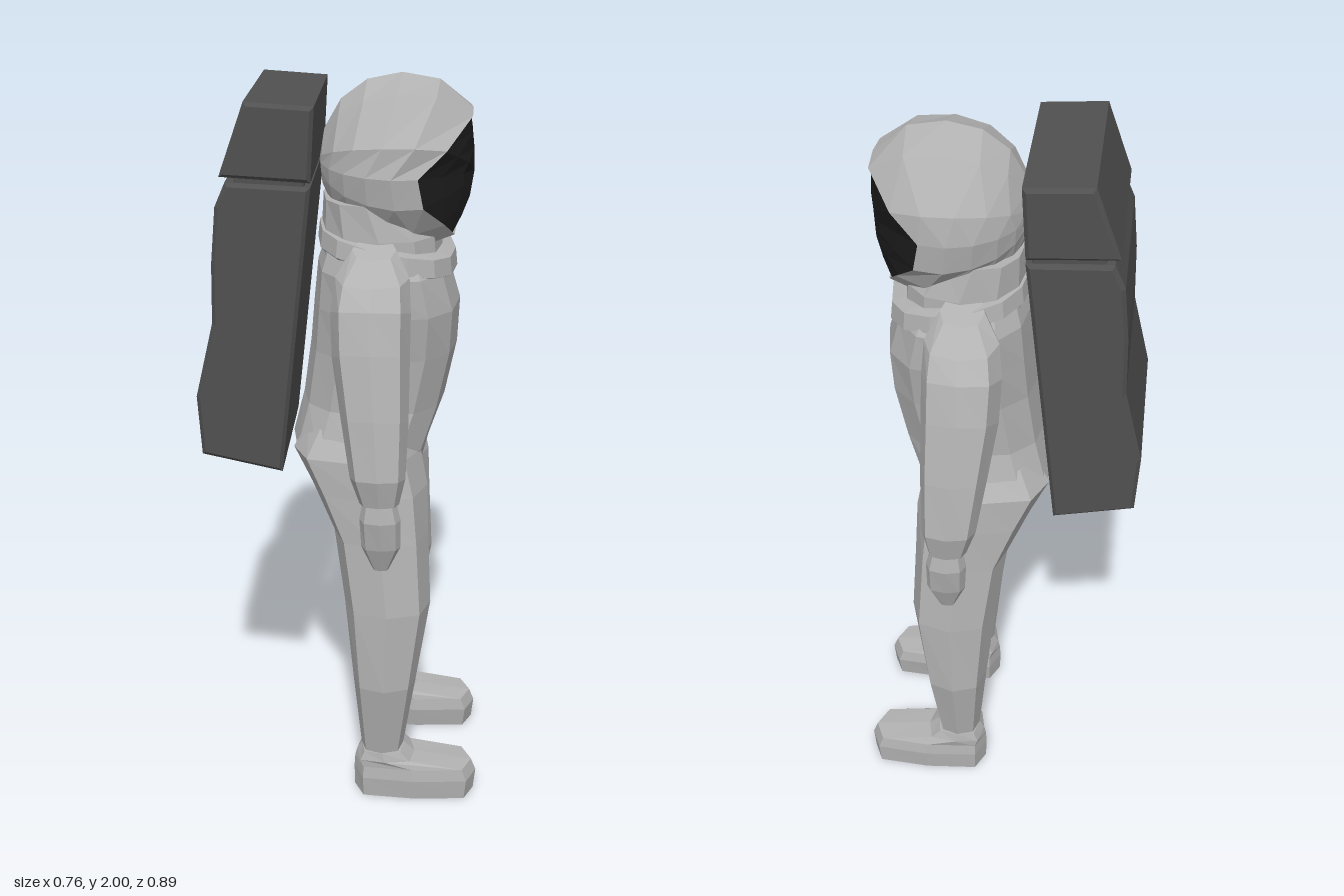
import * as THREE from 'three';

const mat = (name, color) => {
  const m = new THREE.MeshStandardMaterial({ color });
  m.name = name;
  m.flatShading = true;
  return m;
};

// Skin a list of rings (arrays of Vector3), closing both ends
function skin(rings) {
  const pos = [];
  const tri = (a, b, c) => {
    const area = b.clone().sub(a).cross(c.clone().sub(a)).length();
    if (area > 1e-8) for (const v of [a, b, c]) pos.push(v.x, v.y, v.z);
  };
  const n = rings[0].length;
  for (let i = 0; i < rings.length - 1; i++)
    for (let j = 0; j < n; j++) {
      const k = (j + 1) % n, lo = rings[i], hi = rings[i + 1];
      tri(lo[j], hi[k], lo[k]);
      tri(lo[j], hi[j], hi[k]);
    }
  return { pos, tri, first: rings[0], last: rings[rings.length - 1] };
}

function toGeometry(pos) {
  const g = new THREE.BufferGeometry();
  g.setAttribute('position', new THREE.Float32BufferAttribute(pos, 3));
  g.computeVertexNormals();
  return g;
}

// Rows from bottom to top: [y, xMin, xMax, zMin, zMax, slope in z, slope in x]
function loft(rows, side = 1, n = 8, power = 0.8) {
  const round = (v) => (Math.abs(v) < 1e-6 ? 0 : Math.sign(v) * Math.abs(v) ** power);
  const rings = rows.map(([y, x0, x1, z0, z1, sz = 0, sx = 0]) =>
    Array.from({ length: n }, (_, j) => {
      const a = (j / n) * Math.PI * 2;
      const dx = ((x1 - x0) / 2) * round(Math.cos(a));
      const dz = ((z1 - z0) / 2) * round(Math.sin(a));
      return new THREE.Vector3((x0 + x1) / 2 + dx, y + sx * dx + sz * side * dz, (side * (z0 + z1)) / 2 + dz);
    }));
  const s = skin(rings);
  for (let j = 1; j < n - 1; j++) {
    s.tri(s.first[0], s.first[j], s.first[j + 1]);
    s.tri(s.last[0], s.last[j + 1], s.last[j]);
  }
  return toGeometry(s.pos);
}

// Side profile in x and y, extruded across z with a small bevel
function slab(points, halfWidth, bevel) {
  const shape = new THREE.Shape(points.map(([x, y]) => new THREE.Vector2(x, y)));
  const g = new THREE.ExtrudeGeometry(shape, {
    depth: 2 * (halfWidth - bevel), bevelEnabled: true, bevelSegments: 1,
    bevelSize: bevel, bevelThickness: bevel, bevelOffset: -bevel,
  });
  return g.translate(0, 0, -(halfWidth - bevel));
}

export function createModel() {
  const model = new THREE.Group();
  model.name = 'astronaut';
  const suit = mat('suit grey', 0xb2b2b2);
  const dark = mat('pack grey', 0x505050);
  const glass = mat('visor black', 0x1c1c1c);
  const shell = mat('helmet grey', 0xb2b2b2);
  shell.side = THREE.DoubleSide;
  const add = (name, geometry, material) => {
    const mesh = new THREE.Mesh(geometry, material);
    mesh.name = name;
    model.add(mesh);
  };

  // Torso, neck and tilted collar
  add('torso', loft([
    [0.88, 0.0, 0.15, -0.05, 0.05],
    [0.95, -0.11, 0.2, -0.18, 0.18],
    [1.03, -0.15, 0.22, -0.22, 0.22],
    [1.15, -0.12, 0.26, -0.19, 0.19],
    [1.3, -0.1, 0.29, -0.2, 0.2],
    [1.42, -0.09, 0.295, -0.22, 0.22],
    [1.52, -0.08, 0.265, -0.225, 0.225],
    [1.58, -0.06, 0.23, -0.19, 0.19],
  ], 1, 12), suit);
  add('neck', loft([
    [1.52, -0.07, 0.25, -0.18, 0.18],
    [1.61, -0.07, 0.24, -0.18, 0.18],
    [1.7, -0.065, 0.17, -0.17, 0.17],
  ], 1, 12), suit);
  add('collar', loft([
    [1.535, -0.07, 0.27, -0.19, 0.19, 0, -0.2],
    [1.545, -0.08, 0.285, -0.21, 0.21, 0, -0.2],
    [1.59, -0.075, 0.28, -0.205, 0.205, 0, -0.2],
    [1.595, -0.06, 0.25, -0.18, 0.18, 0, -0.2],
  ], 1, 14), suit);

  // Limbs, the right one at +z and the left one at -z
  for (const [label, s] of [['right', 1], ['left', -1]]) {
    add(label + 'Leg', loft([
      [0.13, 0.05, 0.165, 0.125, 0.245],
      [0.37, 0.025, 0.2, 0.1, 0.29],
      [0.6, 0.0, 0.235, 0.065, 0.285],
      [0.8, -0.03, 0.225, 0.03, 0.265],
      [0.93, -0.09, 0.22, 0.0, 0.25],
      [1.03, -0.14, 0.2, 0.0, 0.235],
      [1.1, -0.1, 0.18, 0.03, 0.19],
    ], s), suit);
    add(label + 'Boot', loft([
      [0, 0.03, 0.37, 0.12, 0.255],
      [0.06, 0.028, 0.376, 0.11, 0.26],
      [0.095, 0.03, 0.362, 0.115, 0.255],
      [0.118, 0.035, 0.2, 0.115, 0.255],
      [0.145, 0.05, 0.17, 0.12, 0.25],
    ], s, 8, 0.5), suit);
    add(label + 'Arm', loft([
      [0.99, 0.05, 0.15, 0.345, 0.425, 0.1],
      [1.06, 0.025, 0.165, 0.325, 0.443, 0.2],
      [1.2, 0.0, 0.17, 0.265, 0.42, 0.3],
      [1.35, -0.025, 0.17, 0.215, 0.385, 0.4],
      [1.46, -0.03, 0.17, 0.19, 0.355, 0.3],
      [1.54, -0.02, 0.165, 0.165, 0.315, -0.1],
      [1.6, 0.02, 0.13, 0.15, 0.25, -0.3],
    ], s), suit);
    add(label + 'Hand', loft([
      [0.8, 0.085, 0.125, 0.362, 0.388],
      [0.87, 0.055, 0.155, 0.36, 0.415],
      [0.95, 0.05, 0.155, 0.355, 0.43],
      [1.01, 0.06, 0.14, 0.36, 0.42],
    ], s), suit);
    add(label + 'Thumb', loft([
      [0.86, 0.1, 0.13, 0.325, 0.345],
      [0.91, 0.09, 0.14, 0.32, 0.352],
      [0.97, 0.09, 0.14, 0.345, 0.39],
    ], s, 6), suit);
  }

  // Helmet opening: one half from brim to chin, then mirrored
  const half = [
    [0.315, 1.917, 0], [0.312, 1.91, 0.08], [0.25, 1.84, 0.165], [0.18, 1.775, 0.197],
    [0.195, 1.7, 0.187], [0.25, 1.645, 0.125], [0.275, 1.61, 0.08], [0.278, 1.605, 0],
  ];
  const rim = [...half, ...half.slice(1, -1).reverse().map(([x, y, z]) => [x, y, -z])]
    .map((p) => new THREE.Vector3(...p));

  // Helmet shell: sweep from the opening round an ellipsoid to the back
  const centre = new THREE.Vector3(0.115, 1.785, 0);
  const radii = new THREE.Vector3(0.19, 0.215, 0.2);
  const back = new THREE.Vector3(-1, 0, 0);
  const helmet = [0, 0.18, 0.36, 0.54, 0.7, 0.86, 1].map((t) => rim.map((p) => {
    const d = p.clone().sub(centre).divide(radii);
    const length = THREE.MathUtils.lerp(d.length(), 1, Math.min(1, t * 2.5));
    d.normalize();
    const angle = d.angleTo(back);
    const v = d.clone().multiplyScalar(Math.sin((1 - t) * angle))
      .addScaledVector(back, Math.sin(t * angle)).divideScalar(Math.sin(angle));
    return v.multiplyScalar(length).multiply(radii).add(centre);
  }));
  add('helmet', toGeometry(skin(helmet).pos), shell);

  // Visor: shallow dome filling the opening
  const tip = new THREE.Vector3(0.322, 1.76, 0);
  const visor = [1, 0.6, 0.3, 0].map((t) => rim.map((p) => {
    const v = p.clone().lerp(tip, t);
    v.x = THREE.MathUtils.lerp(p.x - 0.008, tip.x, Math.sin((t * Math.PI) / 2));
    return v;
  }));
  add('visor', toGeometry(skin(visor).pos), glass);

  // Life-support pack: main case, groove and top case
  add('packCase', slab([
    [-0.16, 1.005], [-0.08, 1.762], [-0.29, 1.772], [-0.317, 1.71], [-0.33, 1.565],
    [-0.333, 1.41], [-0.38, 1.21], [-0.37, 1.05],
  ], 0.24, 0.01), dark);
  add('packGroove', slab([[-0.1, 1.72], [-0.09, 1.82], [-0.26, 1.82], [-0.28, 1.72]], 0.228, 0.004), dark);
  add('packTop', slab([
    [-0.08, 1.772], [-0.07, 1.957], [-0.24, 1.968], [-0.305, 1.785],
  ], 0.24, 0.01), dark);

  return model;
}
